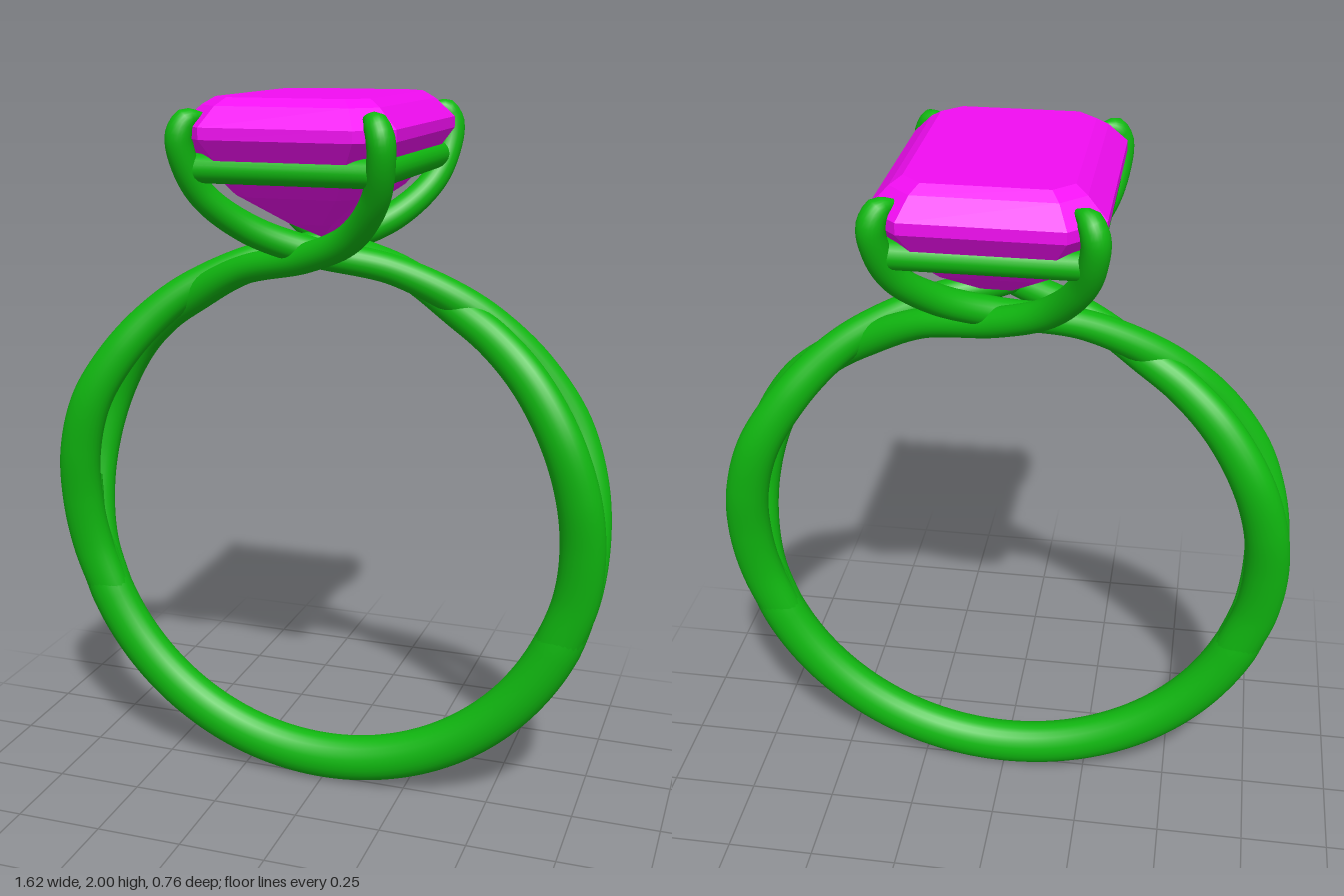
import * as THREE from 'three';

const green = new THREE.MeshStandardMaterial({ color: 0x10b810 });
const magenta = new THREE.MeshStandardMaterial({ color: 0xf20df2, flatShading: true });
const CY = 0.815; // height of the band's centre

// Sweeps an oval along points [x, y, z, radiusA, radiusB];
// radiusA follows the starting z axis, radiusB the starting radial axis.
function sweep(name, pts, steps = 120, sides = 24) {
  const curve = new THREE.CatmullRomCurve3(pts.map(p => new THREE.Vector3(p[0], p[1], p[2])));
  const frames = curve.computeFrenetFrames(steps, false);
  const pos = [], index = [];
  for (let i = 0; i <= steps; i++) {
    const t = curve.getUtoTmapping(i / steps), c = curve.getPoint(t);
    const f = t * (pts.length - 1), k = Math.min(Math.floor(f), pts.length - 2);
    const ra = THREE.MathUtils.lerp(pts[k][3], pts[k + 1][3], f - k);
    const rb = THREE.MathUtils.lerp(pts[k][4], pts[k + 1][4], f - k);
    for (let j = 0; j < sides; j++) {
      const a = j / sides * Math.PI * 2;
      const v = c.clone().addScaledVector(frames.normals[i], ra * Math.cos(a))
        .addScaledVector(frames.binormals[i], rb * Math.sin(a));
      pos.push(v.x, v.y, v.z);
      if (i < steps) {
        const p = i * sides + j, q = i * sides + (j + 1) % sides;
        index.push(p, q, q + sides, p, q + sides, p + sides);
      }
    }
  }
  const g = new THREE.BufferGeometry();
  g.setAttribute('position', new THREE.Float32BufferAttribute(pos, 3));
  g.setIndex(index);
  g.computeVertexNormals();
  const mesh = new THREE.Mesh(g, green);
  mesh.name = name;
  return mesh;
}

// Point on the band circle at an angle in degrees
function onBand(deg, radius, z, ra, rb) {
  const a = THREE.MathUtils.degToRad(deg);
  return [Math.cos(a) * radius, CY + Math.sin(a) * radius, z, ra, rb];
}

// Step-cut stone built from stacked cut-corner rectangles
function createStone() {
  // y, half width, half depth, corner cut
  const layers = [
    [2.0, 0, 0, 0], [2.0, 0.205, 0.295, 0.05], [1.98, 0.235, 0.325, 0.06],
    [1.93, 0.285, 0.375, 0.085], [1.9, 0.285, 0.375, 0.085], [1.84, 0.245, 0.335, 0.075],
    [1.75, 0.17, 0.255, 0.05], [1.67, 0.06, 0.13, 0.02], [1.62, 0, 0, 0],
  ];
  const rings = layers.map(([y, w, d, c]) => [
    [w, d - c], [w - c, d], [c - w, d], [-w, d - c],
    [-w, c - d], [c - w, -d], [w - c, -d], [w, c - d],
  ].map(([x, z]) => [x, y, z]));
  const pos = [];
  for (let i = 0; i < rings.length - 1; i++) {
    for (let k = 0; k < 8; k++) {
      const n = (k + 1) % 8, a = rings[i], b = rings[i + 1];
      if (i > 0) pos.push(...a[k], ...a[n], ...b[n]);
      if (i < rings.length - 2) pos.push(...a[k], ...b[n], ...b[k]);
    }
  }
  const g = new THREE.BufferGeometry();
  g.setAttribute('position', new THREE.Float32BufferAttribute(pos, 3));
  g.computeVertexNormals();
  const mesh = new THREE.Mesh(g, magenta);
  mesh.name = 'stone';
  return mesh;
}

// A strand leaves the band at the right, bows to one side, crosses its twin
// and rises into the prong at the opposite left corner. s is the prong's z side.
function createStrand(s, crossRadius, arch) {
  const pts = [
    onBand(-25, 0.748, -0.006 * s, 0.048, 0.064),
    onBand(-12, 0.748, -0.018 * s, 0.046, 0.064),
    onBand(0, 0.748, -0.04 * s, 0.046, 0.063),
    onBand(12, 0.75, -0.066 * s, 0.046, 0.061),
    onBand(25, 0.752, -0.08 * s, 0.045, 0.058),
    onBand(38, 0.75, -0.063 * s, 0.044, 0.054),
    onBand(49, (0.75 + crossRadius) / 2, -0.03 * s, 0.043, 0.05),
    onBand(59, crossRadius, 0, 0.042, 0.046),
    ...arch.map(([x, y, z]) => [x, y, z * s, 0.04, 0.04]),
    [-0.23, 1.755, 0.283 * s, 0.037, 0.037],
    [-0.26, 1.85, 0.333 * s, 0.036, 0.036],
    [-0.262, 1.91, 0.346 * s, 0.036, 0.036],
    [-0.245, 1.945, 0.335 * s, 0.032, 0.032],
    [-0.205, 1.955, 0.303 * s, 0.005, 0.005],
  ];
  return sweep(s > 0 ? 'overStrand' : 'underStrand', pts, 160);
}

export function createModel() {
  const ring = new THREE.Group();
  ring.name = 'ring';

  // Solid lower band, tapering into the strands at both ends
  const band = [];
  for (let d = 175; d <= 365; d += 9.5) {
    const k = THREE.MathUtils.smoothstep(95 - Math.abs(d - 270), 0, 26);
    band.push(onBand(d, 0.747, 0, 0.028 + 0.03 * k, 0.04 + 0.028 * k));
  }
  ring.add(sweep('band', band));

  // Each shoulder has two twisted strands; the second is a half turn of the first
  for (const turn of [0, Math.PI]) {
    const shoulder = new THREE.Group();
    shoulder.name = turn ? 'rightShoulder' : 'leftShoulder';
    shoulder.add(createStrand(1, 0.757, [[0.21, 1.55, 0.045], [0, 1.598, 0.11], [-0.14, 1.66, 0.19]]));
    shoulder.add(createStrand(-1, 0.732, [[0.21, 1.53, 0.06], [0, 1.585, 0.14], [-0.14, 1.65, 0.205]]));
    shoulder.rotation.y = turn;
    ring.add(shoulder);
  }

  // Rectangular rail under the stone
  const rail = new THREE.Group();
  rail.name = 'rail';
  const w = 0.235, d = 0.31;
  for (const s of [-1, 1]) {
    const cross = new THREE.Mesh(new THREE.CylinderGeometry(0.037, 0.037, 2 * w, 20), green);
    cross.rotation.z = Math.PI / 2;
    cross.position.set(0, 1.825, s * d);
    cross.name = 'shortRail';
    const side = new THREE.Mesh(new THREE.CylinderGeometry(0.037, 0.037, 2 * d, 20), green);
    side.rotation.x = Math.PI / 2;
    side.position.set(s * w, 1.825, 0);
    side.name = 'longRail';
    rail.add(cross, side);
  }
  ring.add(rail, createStone());
  return ring;
}
